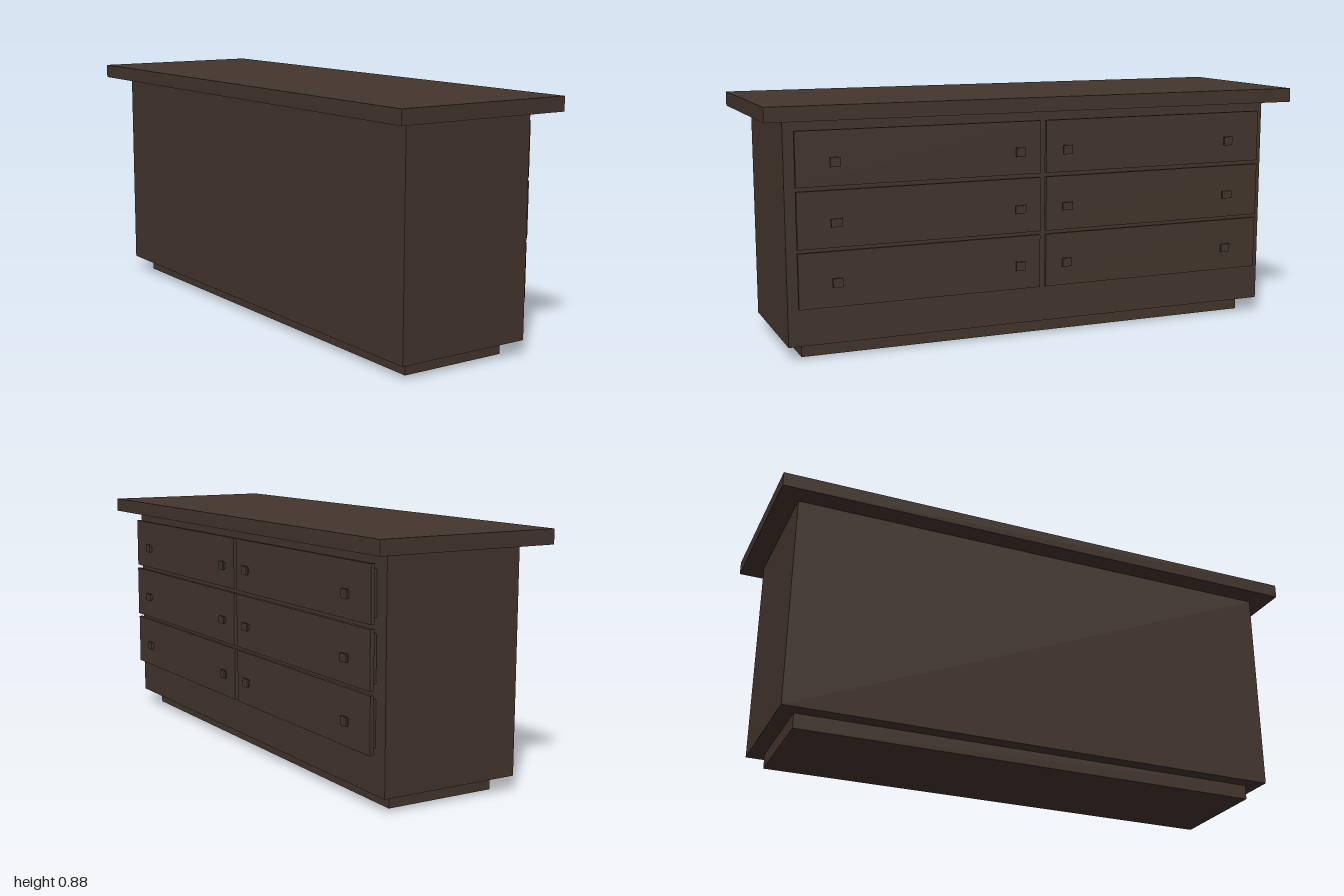
import * as THREE from 'three';

const darkWood = new THREE.MeshStandardMaterial({ color: 0x44362d });
darkWood.name = 'darkWood';

// Box given by its lower and upper limits on each axis
function box(name, [x0, x1], [y0, y1], [z0, z1]) {
  const mesh = new THREE.Mesh(new THREE.BoxGeometry(x1 - x0, y1 - y0, z1 - z0), darkWood);
  mesh.position.set((x0 + x1) / 2, (y0 + y1) / 2, (z0 + z1) / 2);
  mesh.name = name;
  return mesh;
}

// Square knob: a short stem with a wider flat head
function knob(x, y, z, height, width) {
  const g = new THREE.Group();
  g.name = 'knob';
  const around = (c, size) => [c - size / 2, c + size / 2];
  g.add(box('knobStem', [x, x + 0.007], around(y, height * 0.7), around(z, width * 0.7)));
  g.add(box('knobHead', [x + 0.007, x + 0.0135], around(y, height), around(z, width)));
  return g;
}

export function createModel() {
  const model = new THREE.Group();
  model.name = 'dresser';

  // Carcass
  model.add(box('plinth', [-0.203, 0.203], [0, 0.053], [-0.87, 0.87]));
  model.add(box('body', [-0.257, 0.257], [0.053, 0.825], [-0.925, 0.925]));
  model.add(box('top', [-0.335, 0.335], [0.825, 0.876], [-1, 1]));

  // Drawers on the +x side: three rows, two columns
  const rows = [
    { y: [0.602, 0.79], face: 0.291, knobY: 0.683, knobH: 0.032, knobW: 0.034 },
    { y: [0.393, 0.588], face: 0.292, knobY: 0.479, knobH: 0.028, knobW: 0.04 },
    { y: [0.188, 0.38], face: 0.29, knobY: 0.273, knobH: 0.031, knobW: 0.036 },
  ];
  const columns = [
    { z: [0.013, 0.893], knobs: [0.76, 0.093] },
    { z: [-0.889, -0.009], knobs: [-0.089, -0.753] },
  ];
  for (const r of rows) {
    for (const c of columns) {
      const drawer = new THREE.Group();
      drawer.name = 'drawer';
      const inset = ([a, b]) => [a + 0.018, b - 0.018];
      drawer.add(box('drawerBacking', [0.257, 0.277], inset(r.y), inset(c.z)));
      drawer.add(box('drawerFront', [0.277, r.face], r.y, c.z));
      for (const z of c.knobs) drawer.add(knob(r.face, r.knobY, z, r.knobH, r.knobW));
      model.add(drawer);
    }
  }
  return model;
}
